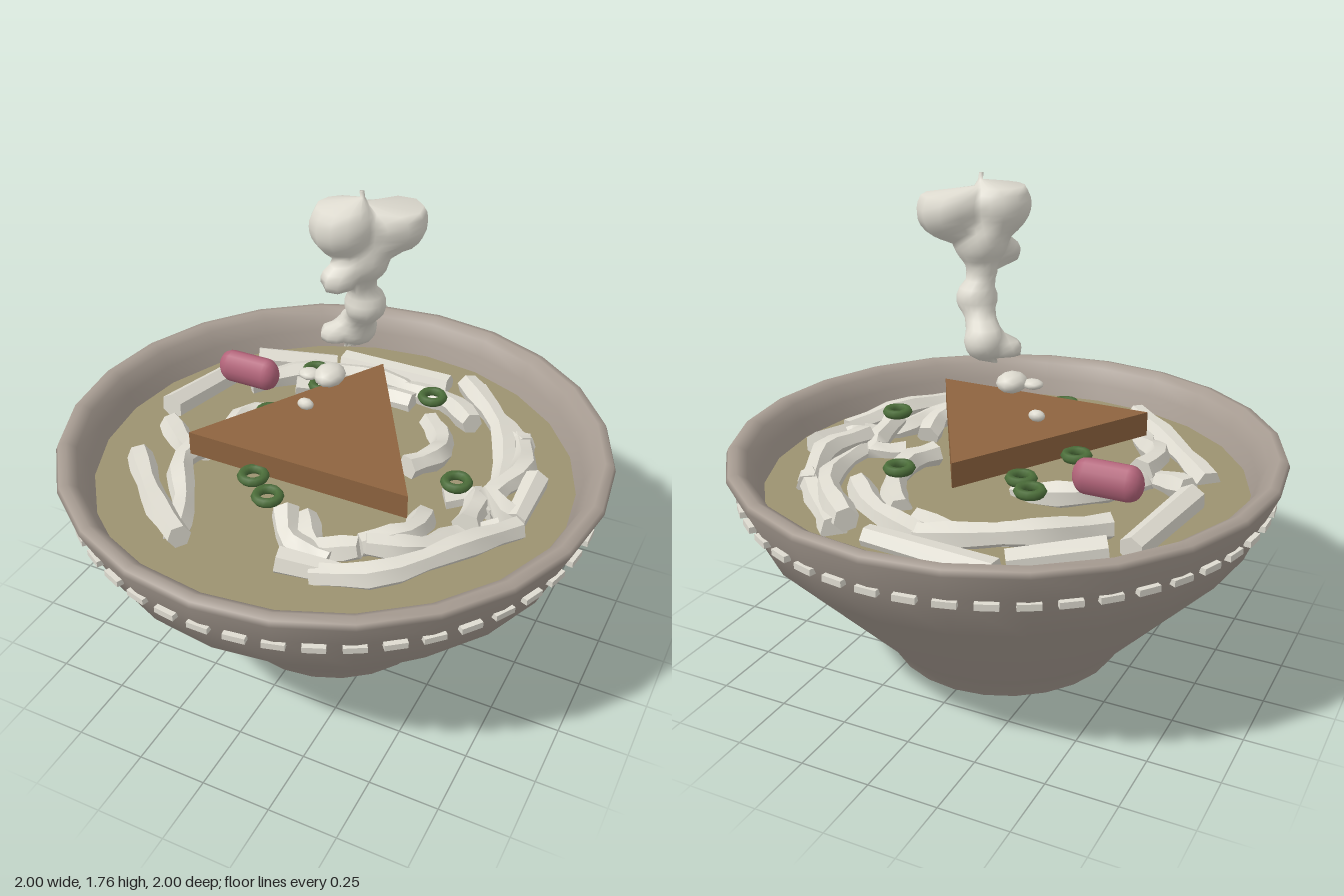
import * as THREE from 'three';
import { toCreasedNormals } from 'three/addons/utils/BufferGeometryUtils.js';

const material = (name, color) => {
  const m = new THREE.MeshStandardMaterial({ color });
  m.name = name;
  return m;
};

const vec = (x, y, z) => new THREE.Vector3(x, y, z);

// Closed skin over a list of rings, capped at both ends by their centres
function loft(rings) {
  const n = rings[0].length, pos = [], idx = [];
  rings.forEach((r) => r.forEach((p) => pos.push(p.x, p.y, p.z)));
  for (let i = 0; i < rings.length - 1; i++) {
    for (let j = 0; j < n; j++) {
      const a = i * n + j, b = i * n + (j + 1) % n;
      idx.push(a, a + n, b, b, a + n, b + n);
    }
  }
  [0, rings.length - 1].forEach((i) => {
    const c = rings[i].reduce((s, p) => s.add(p), vec(0, 0, 0)).divideScalar(n);
    const ci = pos.length / 3;
    pos.push(c.x, c.y, c.z);
    for (let j = 0; j < n; j++) {
      const a = i * n + j, b = i * n + (j + 1) % n;
      if (i === 0) idx.push(ci, a, b);
      else idx.push(ci, b, a);
    }
  });
  const g = new THREE.BufferGeometry();
  g.setAttribute('position', new THREE.Float32BufferAttribute(pos, 3));
  g.setIndex(idx);
  g.computeVertexNormals();
  return g;
}

// Noodle tube through [x, z] points, resting in the broth
function noodleGeometry(path, k) {
  const pts = path.map(([x, z], i) => vec(x, 0.695 + 0.03 * Math.sin(k * 2.3 + i * 1.4), z));
  const curve = new THREE.CatmullRomCurve3(pts);
  const steps = path.length > 2 ? path.length * 2 : 1;
  const frames = curve.computeFrenetFrames(steps, false);
  const rings = [];
  for (let i = 0; i <= steps; i++) {
    const c = curve.getPointAt(i / steps), ring = [];
    const r = 0.046 + 0.006 * Math.sin(k + i * 1.9);
    for (let j = 0; j < 6; j++) {
      const t = (j / 6) * Math.PI * 2 + k;
      ring.push(c.clone()
        .addScaledVector(frames.normals[i], Math.cos(t) * r)
        .addScaledVector(frames.binormals[i], -Math.sin(t) * r));
    }
    rings.push(ring);
  }
  return toCreasedNormals(loft(rings), 0.9);
}

// Steam column: horizontal slices through a blend of soft balls
function steamGeometry() {
  const balls = [
    [0.04, 1.65, 0.03, 0.105], [0.18, 1.64, -0.09, 0.1], [0.09, 1.53, -0.02, 0.09],
    [0.05, 1.48, 0.08, 0.055], [0.09, 1.34, -0.05, 0.07], [0.03, 1.21, -0.11, 0.07],
    [-0.04, 1.18, -0.07, 0.045], [0.08, 1.43, -0.03, 0.05], [0.06, 1.27, -0.08, 0.05],
  ];
  const field = (p) => balls.reduce((s, [x, y, z, r]) => {
    const d = ((p.x - x) ** 2 + (p.y - y) ** 2 + (p.z - z) ** 2) / (r * r);
    return s + Math.exp(3 * (1 - d));
  }, 0);
  const spine = new THREE.CatmullRomCurve3([
    vec(0.0, 1.13, -0.09), vec(0.02, 1.21, -0.1), vec(0.08, 1.33, -0.05),
    vec(0.07, 1.45, 0), vec(0.09, 1.55, -0.01), vec(0.1, 1.65, -0.02), vec(0.09, 1.76, -0.01),
  ]);
  const rings = [];
  for (let i = 0; i <= 30; i++) {
    const c = spine.getPoint(i / 30), ring = [];
    for (let j = 0; j < 20; j++) {
      const t = (j / 20) * Math.PI * 2, dir = vec(Math.cos(t), 0, Math.sin(t));
      let r = 0.008;
      while (r < 0.3 && field(c.clone().addScaledVector(dir, r)) > 1) r += 0.003;
      ring.push(c.clone().addScaledVector(dir, r));
    }
    rings.push(ring);
  }
  return loft(rings);
}

export function createModel() {
  const model = new THREE.Group();
  const clay = material('bowl clay', 0xa79c92);
  const cream = material('noodle cream', 0xdedbd0);
  const broth = material('broth', 0x9c9270);
  const brown = material('toast brown', 0x8e643f);
  const pink = material('sausage pink', 0xb3647a);
  const green = material('onion green', 0x4c6e3a);

  const add = (name, geometry, mat, x = 0, y = 0, z = 0, parent = model) => {
    const mesh = new THREE.Mesh(geometry, mat);
    mesh.name = name;
    mesh.position.set(x, y, z);
    parent.add(mesh);
    return mesh;
  };
  const group = (name) => {
    const g = new THREE.Group();
    g.name = name;
    model.add(g);
    return g;
  };

  // Bowl: recessed foot, flared wall, rounded rim, inner wall
  const profile = [
    [0.18, 0.05], [0.21, 0.02], [0.26, 0], [0.41, 0], [0.425, 0.01], [0.475, 0.09],
    [0.89, 0.53], [0.955, 0.69], [0.998, 0.785], [0.99, 0.805], [0.96, 0.812],
    [0.925, 0.79], [0.895, 0.73], [0.865, 0.64],
  ].map(([x, y]) => new THREE.Vector2(x, y));
  add('bowl', new THREE.LatheGeometry(profile, 24), clay);
  const foot = add('footRecess', new THREE.CircleGeometry(0.185, 24), cream, 0, 0.048, 0);
  foot.rotation.x = Math.PI / 2;
  const soup = add('broth', new THREE.CircleGeometry(0.88, 24), broth, 0, 0.665, 0);
  soup.rotation.x = -Math.PI / 2;

  // Dashes running around the bowl below the rim
  const dashes = group('rimDashes');
  for (let i = 0; i < 48; i++) {
    const t = (i / 48) * Math.PI * 2;
    const d = add('dash', new THREE.BoxGeometry(0.075, 0.022, 0.025), cream,
      Math.sin(t) * 0.952, 0.675, Math.cos(t) * 0.952, dashes);
    d.rotation.y = t;
  }

  // Noodles swirling around the bowl
  const noodles = group('noodles');
  [
    [[-0.63, -0.4], [-0.7, 0]],
    [[-0.58, -0.47], [-0.3, -0.62]],
    [[-0.29, -0.68], [0.18, -0.67]],
    [[-0.52, -0.3], [-0.32, -0.48], [0, -0.58], [0.1, -0.55]],
    [[-0.36, -0.38], [-0.12, -0.5], [0.1, -0.49]],
    [[0, -0.58], [0.24, -0.52], [0.38, -0.4]],
    [[0.26, -0.66], [0.48, -0.44], [0.58, -0.2], [0.58, 0.05]],
    [[0.3, -0.67], [0.45, -0.52], [0.6, -0.38]],
    [[0.57, -0.42], [0.65, -0.2], [0.6, 0], [0.72, 0.02]],
    [[0.71, -0.17], [0.71, 0.05]],
    [[0.2, -0.42], [0.3, -0.3], [0.33, -0.15], [0.27, -0.04]],
    [[-0.42, 0.07], [-0.4, -0.1], [-0.22, -0.15], [-0.1, -0.1]],
    [[-0.66, 0.08], [-0.5, 0.17], [-0.42, 0.05]],
    [[-0.68, 0.26], [-0.45, 0.5], [-0.25, 0.66]],
    [[-0.46, 0.14], [-0.48, 0.28], [-0.37, 0.45], [-0.3, 0.62]],
    [[0.08, 0.59], [0.33, 0.53]],
    [[0.2, 0.58], [0.42, 0.52], [0.6, 0.3], [0.73, 0.08]],
    [[0.32, 0.42], [0.48, 0.34], [0.56, 0.18], [0.67, 0.1]],
    [[0.05, 0.33], [0.15, 0.45], [0.3, 0.42]],
    [[0.42, 0.16], [0.43, 0.3], [0.3, 0.42]],
    [[0, 0.38], [0.07, 0.48], [0.22, 0.49]],
    [[0.44, 0.02], [0.54, -0.04], [0.58, 0.18]],
  ].forEach((path, k) => add('noodle', noodleGeometry(path, k), cream, 0, 0, 0, noodles));

  // Triangular toast slice
  const slice = add('toastSlice',
    toCreasedNormals(new THREE.CylinderGeometry(0.484, 0.484, 0.09, 3), 0.5), brown, 0, 0.833, 0.068);
  slice.rotation.y = Math.PI;

  // Small sausage
  const sausage = add('sausage', new THREE.CapsuleGeometry(0.05, 0.15, 6, 12), pink, -0.475, 0.832, -0.215);
  sausage.rotation.z = Math.PI / 2;
  sausage.scale.x = 1.3;

  // Spring onion rings
  const onions = group('onionRings');
  [[-0.26, -0.36], [-0.19, -0.28], [0.22, -0.385], [-0.28, -0.02], [0.5, 0.075], [-0.14, 0.35], [-0.04, 0.43]]
    .forEach(([x, z]) => {
      const ring = add('onionRing', new THREE.TorusGeometry(0.04, 0.017, 6, 14), green, x, 0.808, z, onions);
      ring.rotation.x = Math.PI / 2;
    });

  // Steam column and the small puffs beneath it
  const steam = group('steam');
  add('steamColumn', steamGeometry(), cream, 0, 0, 0, steam);
  [[-0.03, 1.04, -0.02, 0.055, 0.037, 0.065], [-0.1, 1.037, 0, 0.04, 0.018, 0.035], [-0.11, 0.915, 0.015, 0.032, 0.022, 0.022]]
    .forEach(([x, y, z, sx, sy, sz]) => {
      const puff = add('steamPuff', new THREE.IcosahedronGeometry(1, 1), cream, x, y, z, steam);
      puff.scale.set(sx, sy, sz);
    });

  return model;
}
